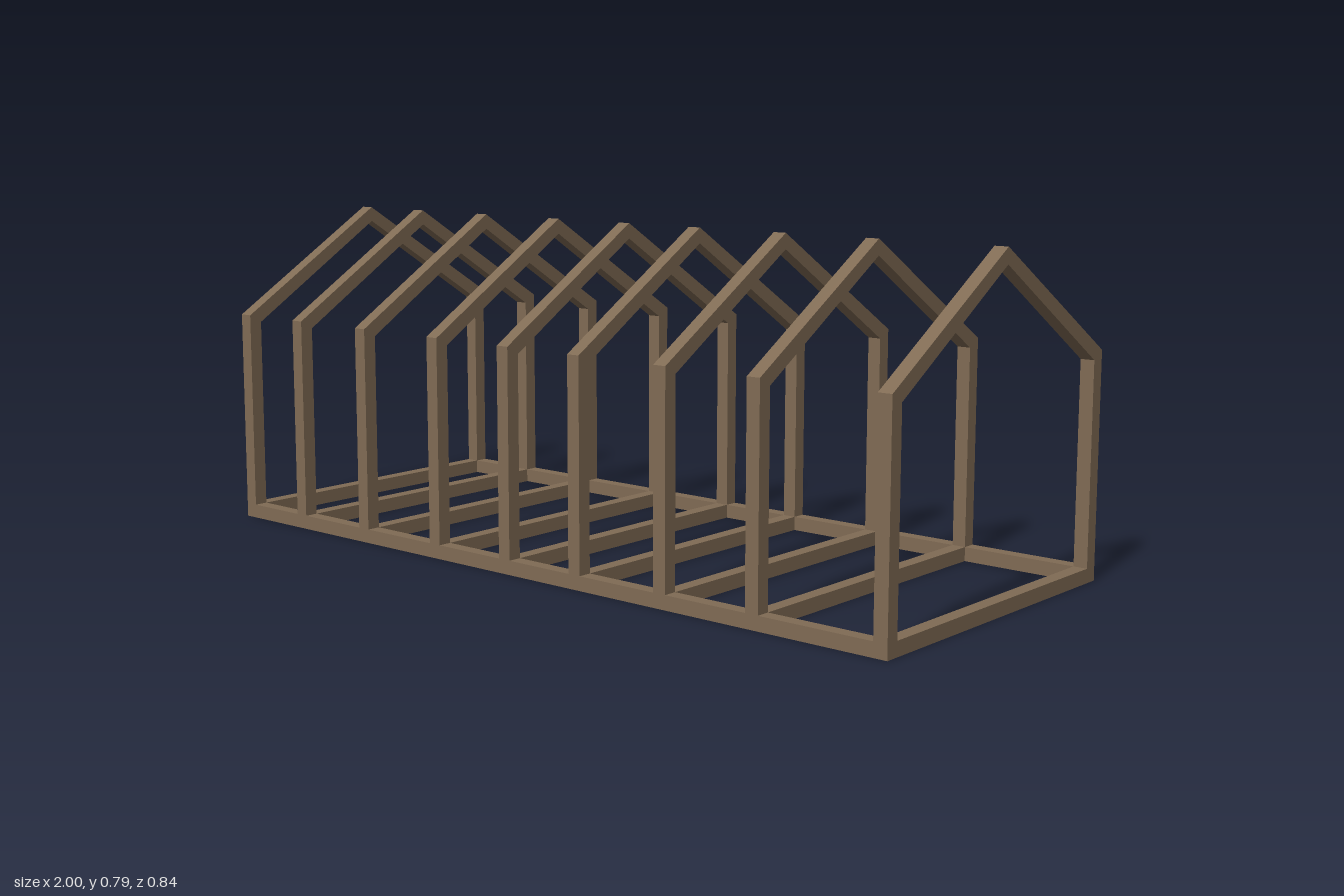
import * as THREE from 'three';

const BEAM = 0.034;            // timber thickness
const OUT = 0.418, IN = 0.384; // outer and inner half depth
const EAVE = 0.53, EAVE_IN = 0.51, PEAK = 0.787, PEAK_IN = 0.75;
const FRAME_X = [-0.983, -0.78, -0.543, -0.289, -0.056, 0.163, 0.412, 0.663, 0.983];

export function createModel() {
  const timber = new THREE.MeshStandardMaterial({ color: 0x806b54 });
  timber.name = 'timber brown';
  const model = new THREE.Group();
  model.name = 'gabledTimberFrame';

  const addMesh = (parent, name, geometry) => {
    const mesh = new THREE.Mesh(geometry, timber);
    mesh.name = name;
    parent.add(mesh);
    return mesh;
  };

  // beam cut from a (z, y) profile, centred across x
  const beam = (points, side) => {
    const shape = new THREE.Shape(points.map(([z, y]) => new THREE.Vector2(z * side, y)));
    return new THREE.ExtrudeGeometry(shape, { depth: BEAM, bevelEnabled: false })
      .translate(0, 0, -BEAM / 2)
      .rotateY(-Math.PI / 2);
  };

  const post = [[IN, BEAM], [OUT, BEAM], [OUT, EAVE], [IN, EAVE_IN]];
  const rafter = [[IN, EAVE_IN], [OUT, EAVE], [0, PEAK], [0, PEAK_IN]];
  const sides = [['front', 1], ['back', -1]];

  // long sills along the ground
  for (const [name, side] of sides) {
    const sill = addMesh(model, `${name}Sill`, new THREE.BoxGeometry(2, BEAM, OUT - IN));
    sill.position.set(0, BEAM / 2, side * (OUT + IN) / 2);
  }

  // repeated portal frames: floor joist, two posts, two mitred rafters
  const joistGeometry = new THREE.BoxGeometry(BEAM, BEAM, 2 * IN);
  const parts = sides.map(([name, side]) => [name, beam(post, side), beam(rafter, side)]);
  FRAME_X.forEach((x, i) => {
    const frame = new THREE.Group();
    frame.name = `portalFrame${i + 1}`;
    frame.position.x = x;
    addMesh(frame, 'floorJoist', joistGeometry).position.y = BEAM / 2;
    for (const [name, postGeometry, rafterGeometry] of parts) {
      addMesh(frame, `${name}Post`, postGeometry);
      addMesh(frame, `${name}Rafter`, rafterGeometry);
    }
    model.add(frame);
  });

  return model;
}
